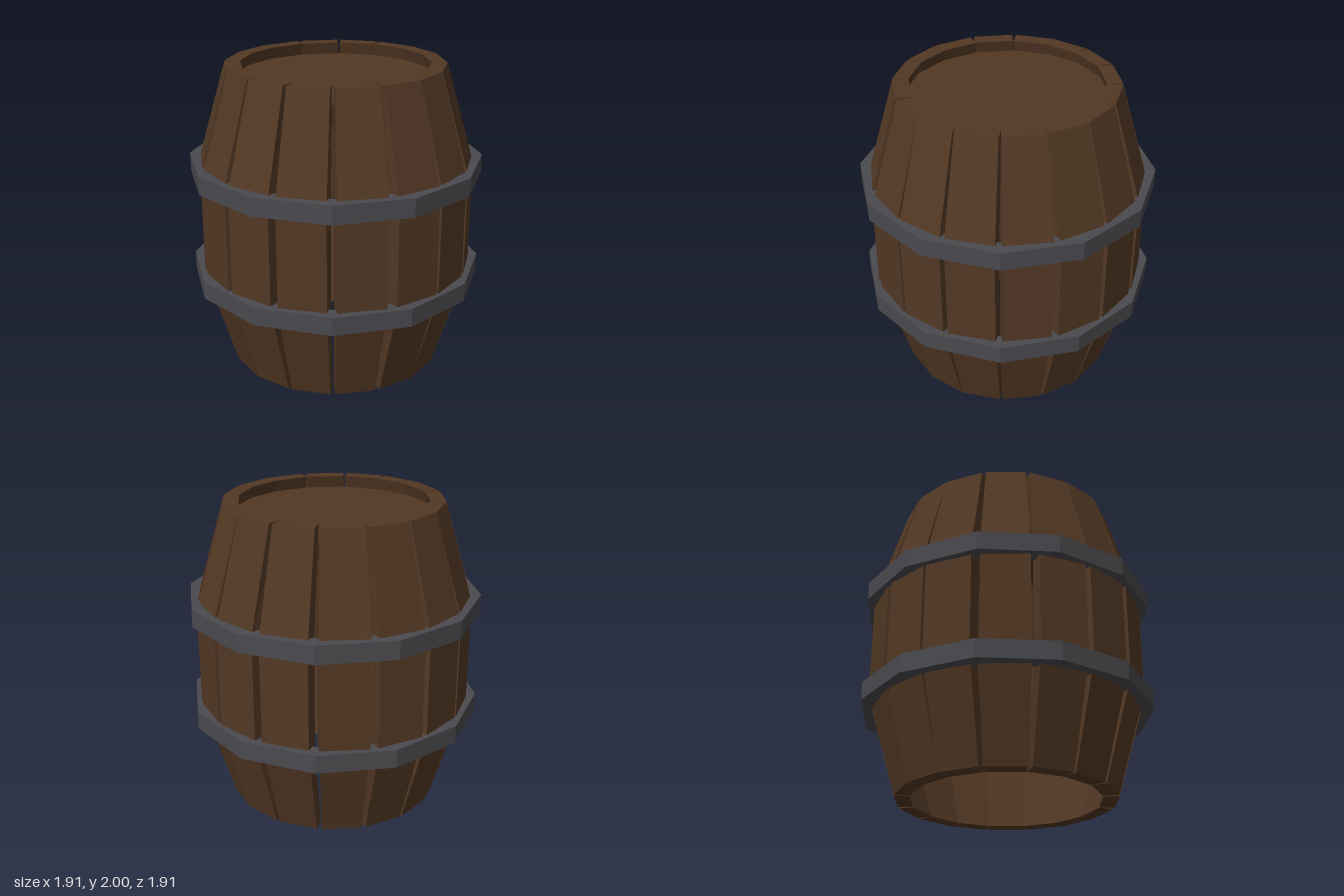
import * as THREE from 'three';

const deg = Math.PI / 180;

// Stave cross-sections: height, outer radius, inner radius, outer half width, inner half width
const SECTIONS = [
  [0, 0.695, 0.595, 0.129, 0.119],
  [0.65, 0.885, 0.785, 0.153, 0.154],
  [1.35, 0.885, 0.785, 0.153, 0.154],
  [2, 0.695, 0.595, 0.129, 0.119],
];

// Slightly uneven, hand-fitted stave directions (degrees from the front towards +x)
const STAVE_ANGLES = [-1, 22.7, 45, 67.4, 89, 111.9, 135.5, 158.6,
  180.8, 201.8, 224.8, 247.9, 270, 292.7, 316.2, 340];
STAVE_ANGLES[0] = 1;

function flat(geometry) {
  const g = geometry.index ? geometry.toNonIndexed() : geometry;
  g.computeVertexNormals();
  return g;
}

// A bent plank lofted through the four-cornered sections
function staveGeometry() {
  const rings = SECTIONS.map(([y, ro, ri, wo, wi]) =>
    [[-wo, y, ro], [wo, y, ro], [wi, y, ri], [-wi, y, ri]]);
  const pos = [];
  const quad = (a, b, c, d) => pos.push(...a, ...b, ...c, ...a, ...c, ...d);
  for (let i = 0; i < rings.length - 1; i++) {
    for (let k = 0; k < 4; k++) {
      const n = (k + 1) % 4;
      quad(rings[i][k], rings[i][n], rings[i + 1][n], rings[i + 1][k]);
    }
  }
  quad(...rings[rings.length - 1]);
  quad(...[...rings[0]].reverse());
  const g = new THREE.BufferGeometry();
  g.setAttribute('position', new THREE.Float32BufferAttribute(pos, 3));
  return flat(g);
}

// Twelve-sided iron ring with a rectangular section
function hoopGeometry(y0, y1) {
  const ri = 0.85, ro = 0.958;
  const profile = [[ri, y0], [ro, y0], [ro, y1], [ri, y1], [ri, y0]]
    .map(([x, y]) => new THREE.Vector2(x, y));
  return flat(new THREE.LatheGeometry(profile, 12, 4.6 * deg));
}

export function createModel() {
  const wood = new THREE.MeshStandardMaterial({ color: 0x523824 });
  wood.name = 'brown wood';
  const iron = new THREE.MeshStandardMaterial({ color: 0x4a4a4f });
  iron.name = 'dark iron';

  const barrel = new THREE.Group();
  barrel.name = 'barrel';
  const add = (geometry, material, name) => {
    const mesh = new THREE.Mesh(geometry, material);
    mesh.name = name;
    barrel.add(mesh);
    return mesh;
  };

  // Staves around the open-bottomed body
  const stave = staveGeometry();
  STAVE_ANGLES.forEach((angle, i) => {
    add(stave, wood, `stave${i + 1}`).rotation.y = angle * deg;
  });

  // Lid set just below the rim
  const lid = add(flat(new THREE.CylinderGeometry(0.655, 0.655, 0.04, 16)), wood, 'lid');
  lid.position.y = 1.9;

  // Two hoops
  add(hoopGeometry(0.56, 0.68), iron, 'lowerHoop');
  add(hoopGeometry(1.27, 1.39), iron, 'upperHoop');

  return barrel;
}
